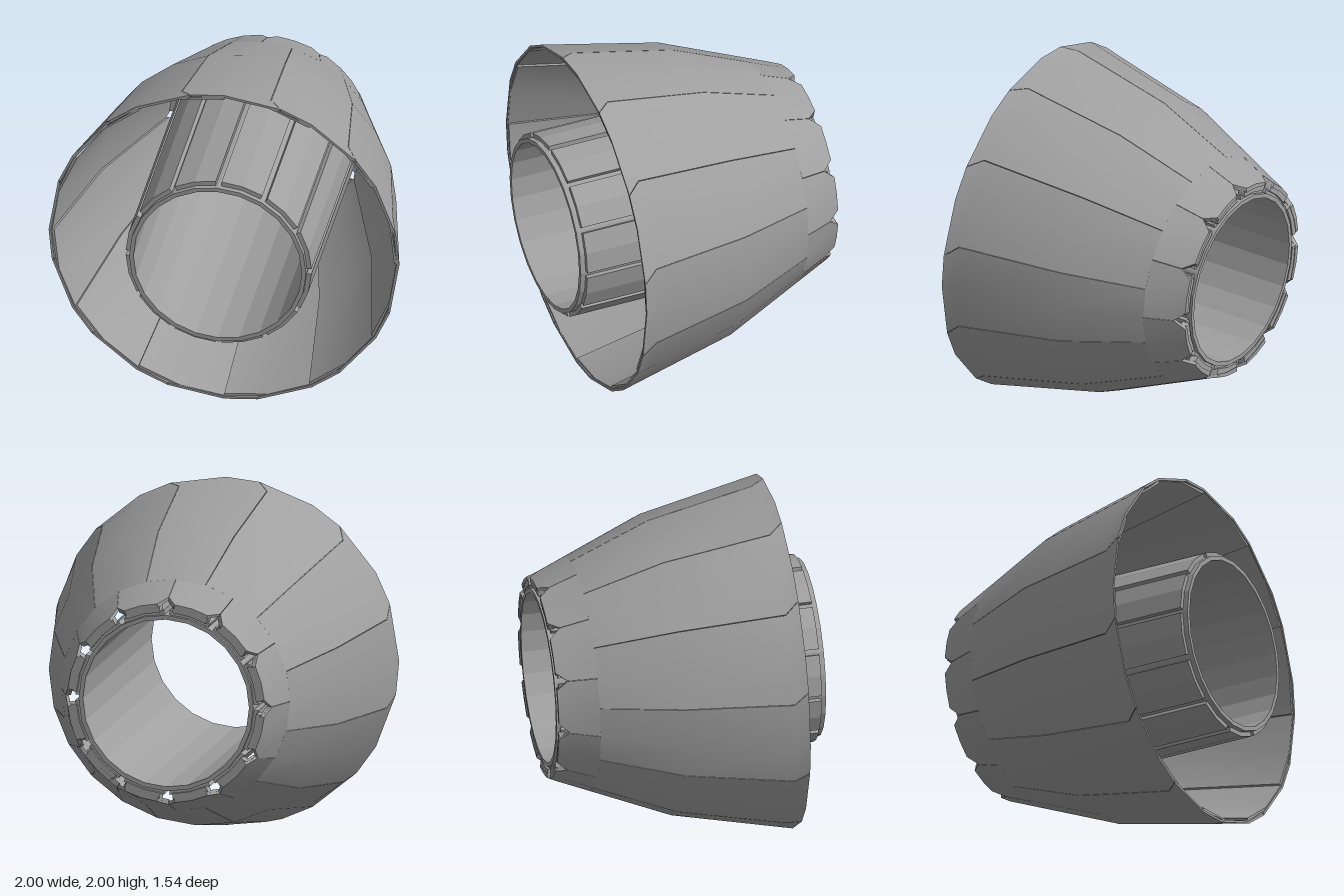
import * as THREE from 'three';
import { toCreasedNormals } from 'three/addons/utils/BufferGeometryUtils.js';

const PETALS = 12;
const SPLIT = -0.55; // where the overlapping flaps stop

// Outer radius of the bell along z
function bell(z) {
  return z > -0.1
    ? THREE.MathUtils.mapLinear(z, 0.58, -0.1, 1, 0.85)
    : THREE.MathUtils.mapLinear(z, -0.1, -0.77, 0.85, 0.57);
}

// Closed curved plate. rows: [z, angles in degrees], z falling, angles rising
function shell(rows, rIn, rOut, crease = 0.6) {
  const n = rows[0][1].length, m = rows.length;
  const pos = [], idx = [];
  for (const radius of [rOut, rIn]) {
    for (const [z, angles] of rows) {
      for (const a of angles) {
        const t = THREE.MathUtils.degToRad(a), r = radius(z, a);
        pos.push(r * Math.cos(t), r * Math.sin(t), z);
      }
    }
  }
  const O = (i, j) => i * n + j;
  const I = (i, j) => m * n + i * n + j;
  const quad = (a, b, c, d) => idx.push(a, b, c, a, c, d);
  for (let i = 0; i < m - 1; i++) {
    for (let j = 0; j < n - 1; j++) {
      quad(O(i, j), O(i + 1, j), O(i + 1, j + 1), O(i, j + 1));
      quad(I(i, j), I(i, j + 1), I(i + 1, j + 1), I(i + 1, j));
    }
    quad(O(i, 0), I(i, 0), I(i + 1, 0), O(i + 1, 0));
    quad(O(i, n - 1), O(i + 1, n - 1), I(i + 1, n - 1), I(i, n - 1));
  }
  for (let j = 0; j < n - 1; j++) {
    quad(O(0, j), O(0, j + 1), I(0, j + 1), I(0, j));
    quad(O(m - 1, j), I(m - 1, j), I(m - 1, j + 1), O(m - 1, j + 1));
  }
  const g = new THREE.BufferGeometry();
  g.setAttribute('position', new THREE.Float32BufferAttribute(pos, 3));
  g.setIndex(idx);
  return toCreasedNormals(g, crease);
}

export function createModel() {
  const metal = new THREE.MeshStandardMaterial({ color: 0xa0a0a0 });
  metal.name = 'grey metal';

  const model = new THREE.Group();
  model.name = 'petalNozzle';
  const body = new THREE.Group();
  body.name = 'nozzleBody';
  body.position.y = 1;
  model.add(body);

  const middle = (z) => bell(z) - 0.014;
  const parts = {
    // Inner leaf, thickest where the neighbouring flap overlaps it
    petalLeaf: shell(
      [
        [0.575, [0, 15, 30]],
        [-0.1, [0, 15, 30]],
        [-0.71, [0, 15, 30]],
        [-0.77, [5, 15, 25]],
      ],
      (z, a) => bell(z) - 0.03 + 0.012 * (a / 30),
      middle
    ),
    // Outer skin, shifted sideways so it laps over the next petal
    petalFlap: shell(
      [
        [0.58, [11.2, 30, 41]],
        [0.5, [15.2, 30, 45]],
        [-0.1, [15.2, 30, 45]],
        [SPLIT, [15.2, 30, 45]],
      ],
      middle,
      bell
    ),
    // Skin behind the step, narrowing at the tip
    petalTip: shell(
      [
        [SPLIT, [0.2, 15, 30]],
        [-0.71, [0.2, 15, 30]],
        [-0.77, [5, 15, 25]],
      ],
      middle,
      bell
    ),
    // Lip joining the petal tip to the tube
    petalLip: shell(
      [
        [-0.73, [3, 15, 27]],
        [-0.765, [4, 15, 26]],
      ],
      () => 0.52,
      (z) => bell(z) - 0.02
    ),
    // Raised panel on the tube
    tubePanel: shell(
      [
        [0.74, [1.8, 15, 28.2]],
        [-0.75, [1.8, 15, 28.2]],
      ],
      () => 0.5,
      () => 0.53,
      0.2
    ),
  };

  for (let k = 0; k < PETALS; k++) {
    const petal = new THREE.Group();
    petal.name = 'petal' + (k + 1);
    petal.rotation.z = (k / PETALS) * Math.PI * 2;
    for (const [name, geometry] of Object.entries(parts)) {
      const mesh = new THREE.Mesh(geometry, metal);
      mesh.name = name;
      petal.add(mesh);
    }
    body.add(petal);
  }

  // Faceted tube through the middle, open at both ends
  const profile = [
    [0.48, -0.77], [0.505, -0.77], [0.505, 0.77], [0.48, 0.77], [0.48, -0.77],
  ].map(([r, z]) => new THREE.Vector2(r, z));
  const tubeGeometry = new THREE.LatheGeometry(profile, 24);
  tubeGeometry.rotateX(Math.PI / 2);
  const tube = new THREE.Mesh(toCreasedNormals(tubeGeometry, 0.2), metal);
  tube.name = 'innerTube';
  body.add(tube);

  return model;
}
